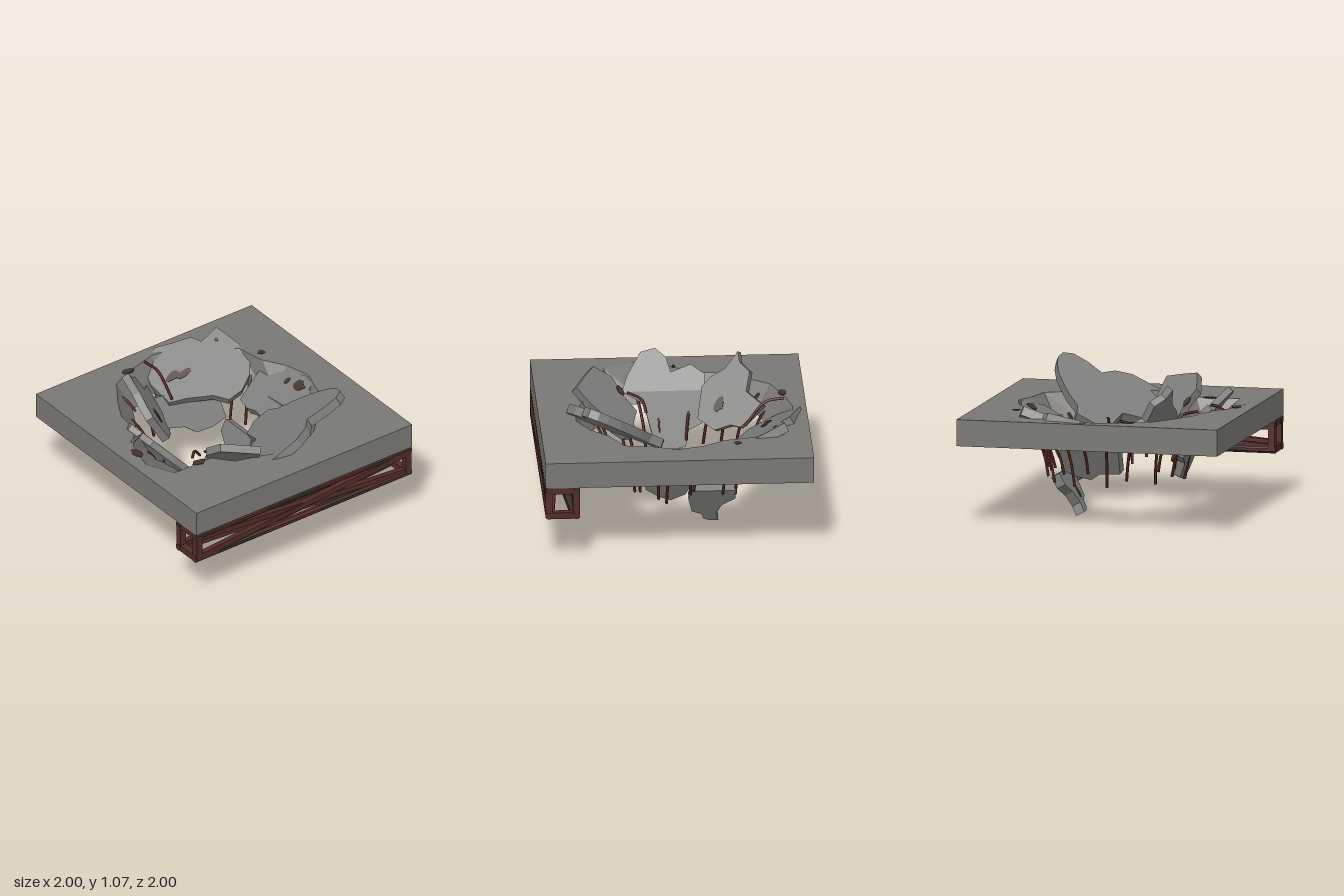
import * as THREE from 'three';

const mat = (name, color, flatShading = true) => {
  const m = new THREE.MeshStandardMaterial({ color, flatShading });
  m.name = name;
  return m;
};

// Break outline: radii every 15 degrees from +x towards +z, on the top and bottom faces
const TOP_R = [0.78, 0.74, 0.79, 0.7, 0.73, 0.75, 0.72, 0.68, 0.7, 0.66, 0.93, 0.94,
  0.84, 0.72, 0.77, 0.8, 0.87, 0.87, 0.9, 0.91, 0.86, 0.82, 0.72, 0.75];
const LOW_R = [0.63, 0.6, 0.66, 0.6, 0.65, 0.61, 0.63, 0.59, 0.64, 0.6, 0.66, 0.6,
  0.63, 0.61, 0.68, 0.66, 0.74, 0.72, 0.77, 0.75, 0.77, 0.69, 0.68, 0.62];
const STEP = Math.PI / 12;

// Broken plates: plane height y = a + b x + c z, thickness t, outline as x, z pairs
const PLATES = {
  frontPlate: { p: [0.51, 0.45, 0.45], t: 0.07, o: [-0.1, 0.38, 0.06, 0.32, 0.1, 0.15, 0.22, 0.07, 0.35, 0.08, 0.37, 0.17,
    0.45, 0.24, 0.5, 0.3, 0.57, 0.4, 0.61, 0.5, 0.62, 0.57, 0.6, 0.64, 0.53, 0.68, 0.42, 0.67, 0.3, 0.63,
    0.22, 0.72, 0.1, 0.77, -0.14, 0.76, -0.1, 0.6, -0.11, 0.45] },
  frontLeftPlate: { p: [0.2, -0.65, 0.85], t: 0.06, o: [-0.48, 0.42, -0.41, 0.36, -0.36, 0.24, -0.25, 0.27, -0.16, 0.26,
    -0.1, 0.33, -0.09, 0.42, -0.13, 0.52, -0.14, 0.6, -0.18, 0.7, -0.32, 0.63, -0.45, 0.56] },
  leftPlate: { p: [0.062, -1.1, 0], t: 0.05, o: [-0.67, -0.28, -0.58, -0.275, -0.58, 0.34, -0.66, 0.3, -0.72, 0.25,
    -0.79, 0.19, -0.81, 0.08, -0.76, 0, -0.68, -0.03, -0.72, -0.18] },
  leftLowerPlate: { p: [-0.924, -2.8, 0], t: 0.06, o: [-0.58, -0.275, -0.5, -0.27, -0.48, -0.15, -0.44, -0.13,
    -0.425, 0.05, -0.46, 0.11, -0.55, 0.18, -0.58, 0.34] },
  backLeftPlate: { p: [-0.124, -1.5, -0.8], t: 0.06, o: [-0.5, -0.52, -0.45, -0.53, -0.38, -0.6, -0.31, -0.57, -0.2, -0.69,
    -0.18, -0.52, -0.22, -0.45, -0.25, -0.33, -0.35, -0.21, -0.41, -0.23, -0.47, -0.25, -0.48, -0.32, -0.47, -0.42] },
  backPlate: { p: [0.326, 0.3, -0.5], t: 0.07, o: [-0.1, -0.85, -0.06, -0.89, 0.06, -0.95, 0.2, -0.9, 0.33, -0.86, 0.38, -0.79,
    0.53, -0.81, 0.56, -0.74, 0.6, -0.62, 0.61, -0.5, 0.54, -0.4, 0.42, -0.34, 0.3, -0.34, 0.22, -0.43,
    0.05, -0.52, -0.08, -0.57, -0.12, -0.75] },
  backLowerPlate: { p: [-0.6, 0.6, -2], t: 0.06, o: [-0.18, -0.66, 0.05, -0.6, 0.3, -0.52, 0.32, -0.4, 0.21, -0.41,
    0.08, -0.44, 0, -0.49, -0.17, -0.55] },
  rightPlate: { p: [0.344, 0.6, 0], t: 0.07, o: [0.54, -0.36, 0.64, -0.38, 0.67, -0.3, 0.73, -0.26, 0.73, -0.1, 0.76, 0,
    0.74, 0.1, 0.7, 0.12, 0.65, 0.24, 0.55, 0.26, 0.43, 0.22, 0.38, 0.1, 0.37, -0.02, 0.38, -0.12, 0.36, -0.2, 0.38, -0.31] },
  rightLowerPlate: { p: [-0.3, 1.9, 0], t: 0.06, o: [0.51, 0.25, 0.45, 0.24, 0.34, 0.22, 0.3, 0.12, 0.28, 0.03,
    0.31, -0.08, 0.385, -0.14, 0.5, -0.13] },
  hangingPlate: { p: [-0.328, 1.9, 0], t: 0.07, o: [0.35, -0.13, 0.305, -0.1, 0.24, -0.13, 0.226, -0.2, 0.2, -0.22, 0.19, -0.27,
    0.19, -0.33, 0.226, -0.31, 0.27, -0.35, 0.305, -0.45, 0.35, -0.45] },
};

// Slanted plate: upper face lies on the plane, thickness runs along its normal
function plateGeometry(points, [a, b, c], thick, lift = 0) {
  const shape = new THREE.Shape(points.map(([x, z]) => new THREE.Vector2(x, -z)));
  const g = new THREE.ExtrudeGeometry(shape, { depth: 1, bevelEnabled: false });
  const n = new THREE.Vector3(-b, 1, -c).normalize();
  const pos = g.attributes.position;
  const v = new THREE.Vector3();
  for (let i = 0; i < pos.count; i++) {
    const x = pos.getX(i), z = -pos.getY(i);
    v.set(x, a + b * x + c * z, z).addScaledVector(n, lift - thick * (1 - pos.getZ(i)));
    pos.setXYZ(i, v.x, v.y, v.z);
  }
  g.computeVertexNormals();
  return g;
}

export function createModel() {
  const root = new THREE.Group();
  root.name = 'brokenFloor';
  const concrete = mat('concrete', 0x7a7874);
  const rubble = mat('brokenConcrete', 0x7c7c7a);
  const stain = mat('stain', 0x44352a);
  const rebarMat = mat('rebar', 0x52201a, false);
  const rust = mat('rust', 0x532c26);
  const steel = mat('darkSteel', 0x3d2e28);
  let seed = 7;
  const rand = () => (seed = (seed * 16807) % 2147483647) / 2147483647;

  const add = (name, geo, material, parent = root) => {
    const m = new THREE.Mesh(geo, material);
    m.name = name;
    parent.add(m);
    return m;
  };
  const group = (name) => {
    const g = new THREE.Group();
    g.name = name;
    root.add(g);
    return g;
  };

  // Floor slab with a ragged hole that narrows towards its underside
  const square = new THREE.Shape([[-1, -1], [1, -1], [1, 1], [-1, 1]].map(p => new THREE.Vector2(...p)));
  square.holes.push(new THREE.Path(TOP_R.map((r, i) => new THREE.Vector2(r * Math.cos(i * STEP), -r * Math.sin(i * STEP)))));
  const slab = new THREE.ExtrudeGeometry(square, { depth: 0.2, bevelEnabled: false });
  slab.rotateX(-Math.PI / 2);
  const sp = slab.attributes.position;
  for (let i = 0; i < sp.count; i++) {
    const x = sp.getX(i), z = sp.getZ(i);
    if (sp.getY(i) < 0.1 && Math.max(Math.abs(x), Math.abs(z)) < 0.99) {
      const k = (Math.round(Math.atan2(z, x) / STEP) + 24) % 24;
      const s = LOW_R[k] / TOP_R[k];
      sp.setX(i, x * s);
      sp.setZ(i, z * s);
    }
  }
  slab.translate(0, 0.6, 0);
  slab.computeVertexNormals();
  add('floorSlab', slab, concrete);

  // Tilted broken plates around the hole
  const plates = group('brokenPlates');
  for (const [name, { p, t, o }] of Object.entries(PLATES)) {
    const pts = [];
    for (let i = 0; i < o.length; i += 2) pts.push([o[i], o[i + 1]]);
    add(name, plateGeometry(pts, p, t), rubble, plates);
  }

  // Thin irregular stains on plates and floor
  const stains = group('stains');
  const floorPlane = [0.8, 0, 0];
  [
    [-0.34, -0.37, 0.03, 0.04, PLATES.backLeftPlate.p], [0.05, -0.71, 0.06, 0.03, PLATES.backPlate.p],
    [0.13, -0.68, 0.06, 0.025, PLATES.backPlate.p], [0.48, -0.74, 0.015, 0.015, PLATES.backPlate.p],
    [0.68, 0.02, 0.04, 0.06, PLATES.rightPlate.p], [0.66, -0.1, 0.03, 0.02, PLATES.rightPlate.p],
    [-0.42, 0.36, 0.03, 0.03, PLATES.frontLeftPlate.p], [0.26, -0.23, 0.025, 0.02, PLATES.hangingPlate.p],
    [-0.58, 0.46, 0.06, 0.035, floorPlane], [-0.87, 0.08, 0.035, 0.06, floorPlane],
    [-0.27, -0.84, 0.06, 0.035, floorPlane], [0.68, -0.45, 0.03, 0.03, floorPlane],
  ].forEach(([x, z, rx, rz, p]) => {
    const pts = [];
    for (let i = 0; i < 10; i++) {
      const t = -i * Math.PI / 5, k = 0.75 + 0.35 * rand();
      pts.push([x + rx * k * Math.cos(t), z + rz * k * Math.sin(t)]);
    }
    add('stain', plateGeometry(pts, p, 0.006, 0.004), stain, stains);
  });

  // Bent reinforcing bars drooping from the rim
  const bars = group('reinforcingBars');
  const bar = (...pts) => add('reinforcingBar', new THREE.TubeGeometry(
    new THREE.CatmullRomCurve3(pts.map(q => new THREE.Vector3(...q))), 10, 0.011, 6), rebarMat, bars);
  for (let i = 0; i < 28; i++) {
    const t = (i + 0.6 * rand()) * Math.PI / 14;
    const r = LOW_R[Math.round(t / STEP) % 24];
    const drop = 0.24 + 0.11 * rand(), reach = 0.08 + 0.09 * rand(), twist = 0.12 * (rand() - 0.5);
    const at = (rad, y, da) => [rad * Math.cos(t + da), y, rad * Math.sin(t + da)];
    bar(at(r + 0.04, 0.65, 0), at(r, 0.61, 0), at(r - reach * 0.65, 0.61 - drop * 0.45, twist * 0.5), at(r - reach, 0.61 - drop, twist));
  }
  // Loose bars lying across the opening
  bar([-0.11, 0.82, -0.84], [-0.09, 0.8, -0.7], [-0.07, 0.62, -0.55]);
  bar([-0.35, 0.62, 0.17], [-0.42, 0.7, 0.2], [-0.52, 0.72, 0.3]);
  bar([-0.83, 0.78, -0.06], [-0.77, 0.82, -0.055], [-0.71, 0.83, -0.05]);
  bar([-0.47, 0.74, -0.71], [-0.42, 0.7, -0.65], [-0.38, 0.62, -0.59]);
  bar([-0.64, 0.74, -0.54], [-0.59, 0.7, -0.5], [-0.54, 0.62, -0.46]);

  // Lattice girder under the front edge
  const girder = group('latticeGirder');
  const beam = (name, a, b, w, m) => {
    const from = new THREE.Vector3(...a), to = new THREE.Vector3(...b);
    const mesh = add(name, new THREE.BoxGeometry(w, w, from.distanceTo(to)), m, girder);
    mesh.position.copy(from).add(to).multiplyScalar(0.5);
    mesh.lookAt(to);
  };
  const Y = [0.376, 0.574], Z = [0.77, 0.974];
  const cuts = [-1, -0.78, -0.35, 0.15, 0.6, 1];
  for (const y of Y) for (const z of Z) {
    const flip = y === Y[0] ? 1 : 0;
    for (let i = 0; i < 5; i++) {
      const chord = add('chord', new THREE.CylinderGeometry(0.028, 0.028, cuts[i + 1] - cuts[i], 8), (i + flip) % 2 ? rust : steel, girder);
      chord.rotation.set(Math.PI / 8, 0, Math.PI / 2);
      chord.position.set((cuts[i] + cuts[i + 1]) / 2, y, z);
    }
  }
  for (const x of [-0.97, 0.97]) {
    for (const z of Z) beam('endPost', [x, Y[0], z], [x, Y[1], z], 0.052, rust);
    for (const y of Y) beam('endCrossbar', [x, y, Z[0]], [x, y, Z[1]], 0.05, rust);
  }
  for (const s of [-1, 1]) {
    for (const z of Z) beam('sideDiagonal', [-0.95 * s, Y[0] + 0.02, z + 0.005 * s], [0.95 * s, Y[1] - 0.02, z + 0.005 * s], 0.042, rust);
    for (const y of Y) beam('flatDiagonal', [-0.95 * s, y + 0.004 * s, Z[0] + 0.02], [0.95 * s, y + 0.004 * s, Z[1] - 0.02], 0.042, s > 0 ? rust : steel);
  }
  return root;
}
